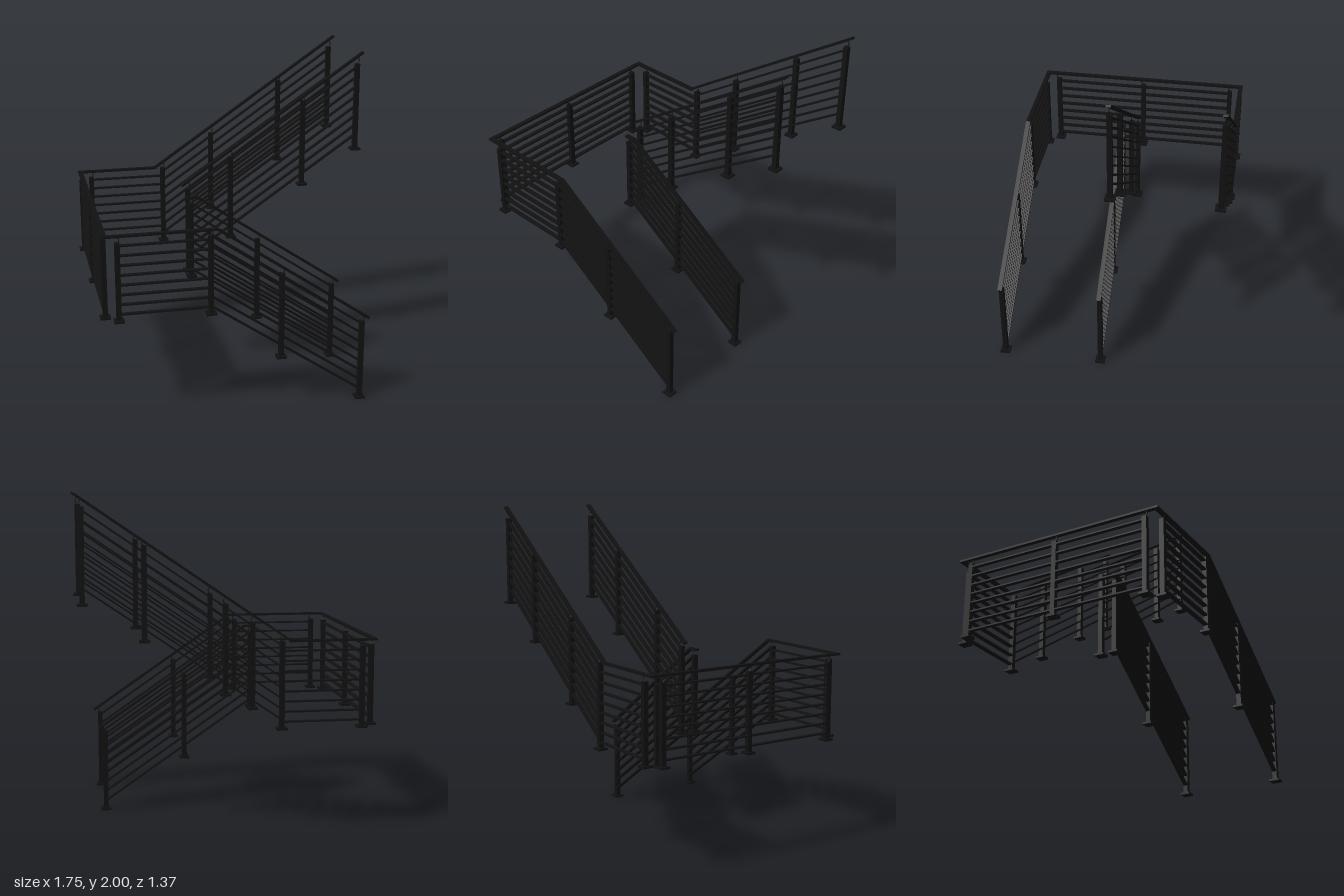
import * as THREE from 'three';

const V = (x, y, z) => new THREE.Vector3(x, y, z);
const metal = new THREE.MeshStandardMaterial({ color: 0x111111 });

const LANDING = 0.636, RAIL_Y = 1.153, POST_TOP = 1.115, SLOPE = 0.684;
const BACK = -0.655, FRONT = 0.655, INNER_UP = -0.048, INNER_DOWN = 0.048, SIDE = -0.846;
// Handrail centre height above each flight
const upRail = (x) => 1.158 + (x + 0.345) * SLOPE;
const downRail = (x) => RAIL_Y - (x + 0.2) * SLOPE;
const flatRail = () => RAIL_Y;

function add(group, name, geometry) {
  const mesh = new THREE.Mesh(geometry, metal);
  mesh.name = name;
  group.add(mesh);
  return mesh;
}

// Flat bar from a to b, kept level across its width
function bar(group, name, a, b, width, thickness) {
  const mesh = add(group, name, new THREE.BoxGeometry(width, thickness, a.distanceTo(b)));
  mesh.position.copy(a).add(b).multiplyScalar(0.5);
  mesh.lookAt(b);
}
const handrail = (group, a, b) => bar(group, 'handrail', a, b, 0.028, 0.013);
const infill = (group, a, b) => bar(group, 'infillBar', a, b, 0.026, 0.009);

// Square post with a base plate and a curved bracket reaching up to the handrail
function post(group, x, z, base, top, railY, along) {
  const g = new THREE.Group();
  g.name = 'post';
  g.position.set(x, 0, z);
  add(g, 'basePlate', new THREE.BoxGeometry(0.06, 0.013, 0.06)).position.y = base + 0.0065;
  add(g, 'postShaft', new THREE.BoxGeometry(0.029, top - base, 0.029)).position.y = (base + top) / 2;
  const h = railY - top;
  const curve = new THREE.CatmullRomCurve3([
    V(0, top - 0.005, 0),
    along.clone().multiplyScalar(0.012).setY(top + h * 0.4),
    along.clone().multiplyScalar(0.008).setY(top + h * 0.75),
    V(0, railY, 0).addScaledVector(along, -0.008),
  ]);
  add(g, 'railBracket', new THREE.TubeGeometry(curve, 10, 0.003, 6));
  group.add(g);
}

// Eight parallel bars below a handrail, between x0 and x1
function barsAlongX(group, z, x0, x1, railAt, first, step) {
  for (let i = 0; i < 8; i++) {
    const drop = first + step * i;
    infill(group, V(x0, railAt(x0) - drop, z), V(x1, railAt(x1) - drop, z));
  }
}

// One sloped balustrade; posts are listed as [x, base, top]
function flight(name, z, railAt, start, end, posts) {
  const g = new THREE.Group();
  g.name = name;
  handrail(g, V(start, railAt(start), z), V(end, railAt(end), z));
  barsAlongX(g, z, posts[0][0], posts[posts.length - 1][0], railAt, 0.063, 0.0615);
  for (const [x, base, top] of posts) {
    // Posts before the slope begins meet the level part of the handrail
    const railY = x < start ? RAIL_Y : railAt(x);
    post(g, x, z, base, top, railY, V(1, 0, 0));
  }
  return g;
}

// Level balustrade leading from the corner to a flight
function landingReturn(name, z, postEnd, railEnd) {
  const g = new THREE.Group();
  g.name = name;
  handrail(g, V(SIDE - 0.014, RAIL_Y, z), V(railEnd, RAIL_Y, z));
  barsAlongX(g, z, -0.775, postEnd, flatRail, 0.057, 0.0591);
  post(g, -0.775, z, LANDING, POST_TOP, RAIL_Y, V(1, 0, 0));
  return g;
}

export function createModel() {
  const model = new THREE.Group();
  model.name = 'stairRailing';

  const upper = [[0.03, 0.845, 1.372], [0.49, 1.161, 1.708], [0.835, 1.372, 1.92]];
  const lower = [[0.182, 0.318, 0.855], [0.68, 0, 0.508]];

  // Flights going up at the back and down at the front
  const lowerInner = flight('lowerInnerFlight', INNER_DOWN, downRail, -0.205, 0.722, [[-0.24, LANDING, 1.12], ...lower]);
  // Short level start of the inner lower handrail
  handrail(lowerInner, V(-0.265, RAIL_Y, INNER_DOWN), V(-0.197, RAIL_Y, INNER_DOWN));
  model.add(
    flight('upperOuterFlight', BACK, upRail, -0.35, 0.871, [[-0.3, LANDING, 1.153], ...upper]),
    flight('upperInnerFlight', INNER_UP, upRail, -0.28, 0.871, [[-0.24, LANDING, 1.183], ...upper]),
    flight('lowerOuterFlight', FRONT, downRail, -0.205, 0.722, [[-0.24, LANDING, 1.12], ...lower]),
    lowerInner,
  );

  // Level balustrades around the landing
  model.add(landingReturn('backLandingReturn', BACK, -0.3, -0.34));
  model.add(landingReturn('frontLandingReturn', FRONT, -0.24, -0.197));

  const side = new THREE.Group();
  side.name = 'landingSide';
  handrail(side, V(SIDE, RAIL_Y, BACK - 0.014), V(SIDE, RAIL_Y, FRONT + 0.014));
  for (let i = 0; i < 8; i++) {
    const y = RAIL_Y - 0.057 - 0.0591 * i;
    infill(side, V(SIDE, y, -0.585), V(SIDE, y, 0.585));
  }
  for (const z of [-0.585, 0, 0.585]) post(side, SIDE, z, LANDING, POST_TOP, RAIL_Y, V(0, 0, 1));
  model.add(side);

  return model;
}
